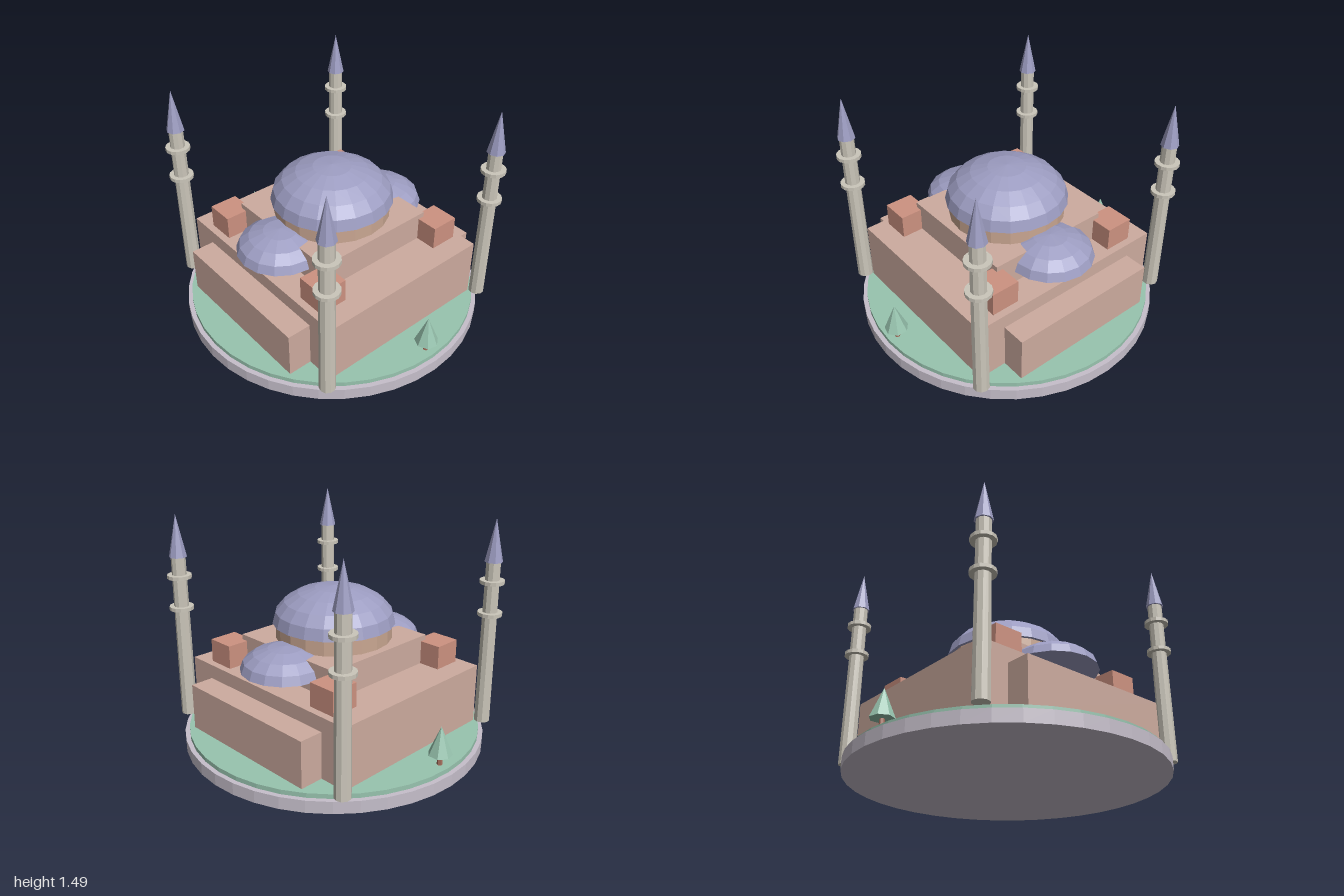
import * as THREE from 'three';

const paint = (name, color, extra = {}) => {
  const m = new THREE.MeshStandardMaterial({ color, flatShading: true, ...extra });
  m.name = name;
  return m;
};

export function createModel() {
  const stone = paint('pale stone', 0xc6bfcb);
  const grass = paint('green', 0x98c4af);
  const wall = paint('pink wall', 0xcdab9f);
  const drumTan = paint('tan drum', 0xcaa792);
  const brick = paint('terracotta', 0xcd9281);
  const lead = paint('lead blue', 0x9d9dc2);
  const ivory = paint('ivory', 0xcbc6ba);
  const bark = paint('bark', 0xa8705e);

  const model = new THREE.Group();
  model.name = 'domedBuilding';

  const add = (parent, name, geo, mat, x, y, z) => {
    const mesh = new THREE.Mesh(geo, mat);
    mesh.name = name;
    mesh.position.set(x, y, z);
    parent.add(mesh);
    return mesh;
  };
  // Boxes and cylinders are placed by their bottom and top heights
  const box = (name, mat, w, d, y0, y1, x = 0, z = 0) =>
    add(model, name, new THREE.BoxGeometry(w, y1 - y0, d), mat, x, (y0 + y1) / 2, z);
  const cyl = (parent, name, mat, rTop, rBottom, y0, y1, sides) =>
    add(parent, name, new THREE.CylinderGeometry(rTop, rBottom, y1 - y0, sides), mat, 0, (y0 + y1) / 2, 0);

  // Flattened hemisphere closed underneath
  const dome = (name, r, h, y, z, around, rings) => {
    const g = new THREE.Group();
    g.name = name;
    g.position.set(0, y, z);
    const shell = new THREE.SphereGeometry(r, around, rings, 0, Math.PI * 2, 0, Math.PI / 2);
    shell.scale(1, h / r, 1);
    add(g, 'domeShell', shell, lead, 0, 0, 0);
    add(g, 'domeUnderside', new THREE.CircleGeometry(r, around).rotateX(Math.PI / 2), lead, 0, 0, 0);
    model.add(g);
  };

  // Round ground
  cyl(model, 'plinth', stone, 1, 1, 0, 0.08, 40);
  cyl(model, 'lawn', grass, 0.97, 0.97, 0.08, 0.11, 40);

  // Main hall, upper tier and central dome
  box('mainHall', wall, 1.42, 1.235, 0.11, 0.51);
  box('upperTier', wall, 0.85, 0.85, 0.51, 0.70);
  cyl(model, 'drum', drumTan, 0.38, 0.38, 0.70, 0.80, 20);
  dome('centralDome', 0.4, 0.24, 0.80, 0, 20, 5);

  // Porches and smaller domes, front and back
  for (const s of [1, -1]) {
    box('porch', wall, 1.045, 0.175, 0.11, 0.415, 0, s * 0.6875);
    dome('sideDome', 0.285, 0.15, 0.59, s * 0.425, 16, 4);
  }

  // Corner blocks and minarets
  for (const sx of [1, -1]) for (const sz of [1, -1]) {
    box('cornerBlock', brick, 0.19, 0.19, 0.51, 0.665, sx * 0.475, sz * 0.475);

    const minaret = new THREE.Group();
    minaret.name = 'minaret';
    minaret.position.set(sx * 0.743, 0, sz * 0.667);
    cyl(minaret, 'shaft', ivory, 0.047, 0.052, 0.11, 1.21, 10);
    cyl(minaret, 'lowerBalcony', ivory, 0.079, 0.079, 0.857, 0.881, 14);
    cyl(minaret, 'upperBalcony', ivory, 0.079, 0.079, 1.069, 1.093, 14);
    cyl(minaret, 'spire', lead, 0, 0.058, 1.21, 1.485, 8);
    model.add(minaret);
  }

  // Trees at the sides
  for (const sx of [1, -1]) {
    const tree = new THREE.Group();
    tree.name = 'tree';
    tree.position.set(sx * 0.905, 0, 0);
    cyl(tree, 'trunk', bark, 0.015, 0.018, 0.11, 0.18, 6);
    cyl(tree, 'foliage', grass, 0, 0.076, 0.18, 0.365, 7);
    model.add(tree);
  }

  return model;
}
